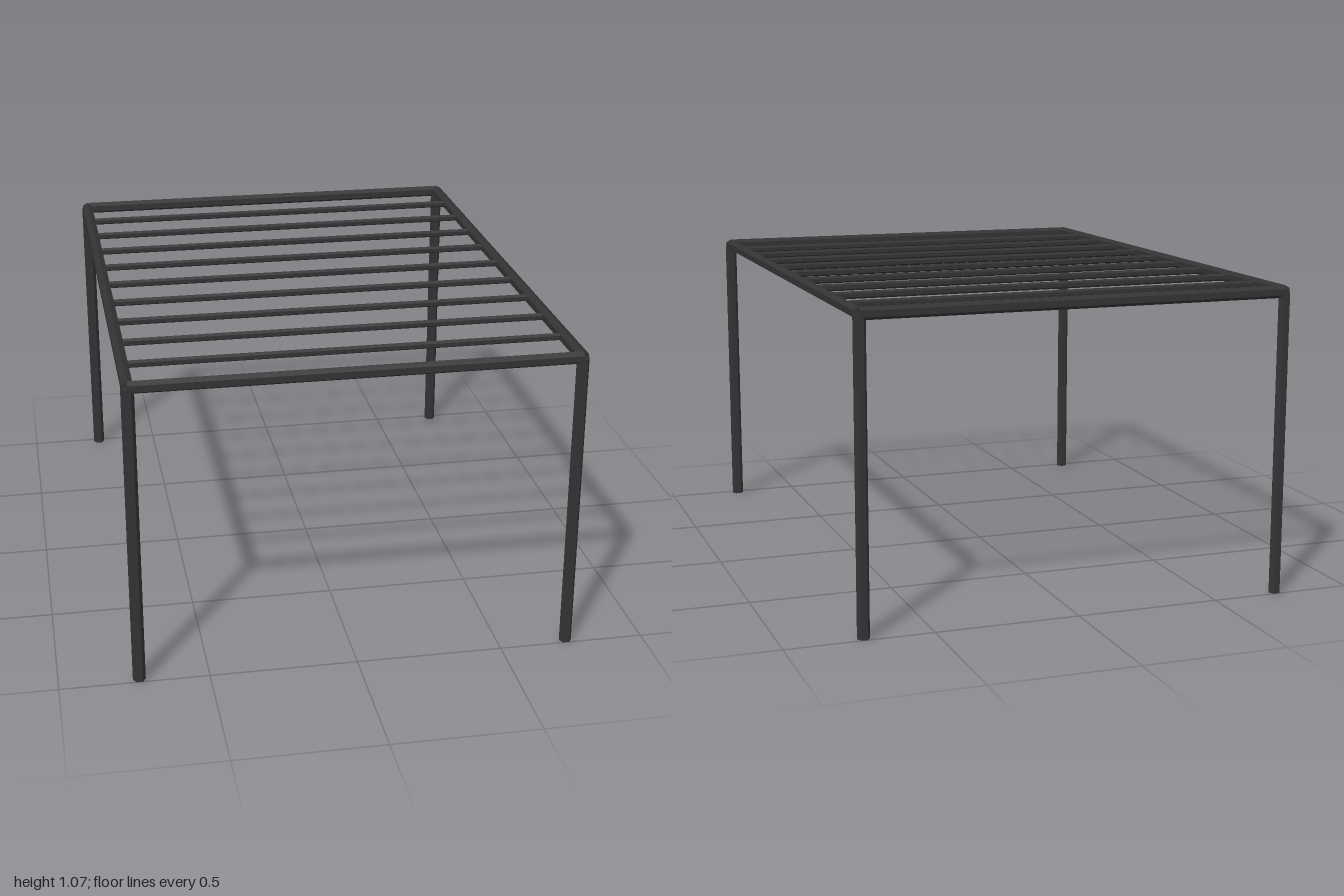
import * as THREE from 'three';

const X = 0.734, Z = 0.9813, Y = 1.045; // bar centre lines
const R = 0.0215, SLAT_R = 0.0128, SLATS = 9;

export function createModel() {
  const model = new THREE.Group();
  model.name = 'pergola';
  const darkMetal = new THREE.MeshStandardMaterial({ color: 0x333333, flatShading: true });
  darkMetal.name = 'darkMetal';

  // Six-sided bar along an axis; horizontal bars have a ridge on top
  function bar(name, axis, radius, length, x, y, z) {
    const start = axis === 'z' ? 0 : Math.PI / 2;
    const geometry = new THREE.CylinderGeometry(radius, radius, length, 6, 1, false, start);
    if (axis === 'x') geometry.rotateZ(Math.PI / 2);
    if (axis === 'z') geometry.rotateX(Math.PI / 2);
    const mesh = new THREE.Mesh(geometry, darkMetal);
    mesh.name = name;
    mesh.position.set(x, y, z);
    model.add(mesh);
  }

  // Corner posts
  for (const sx of [1, -1]) {
    for (const sz of [1, -1]) {
      const name = (sz > 0 ? 'front' : 'back') + (sx > 0 ? 'Left' : 'Right') + 'Post';
      bar(name, 'y', R, Y, sx * X, Y / 2, sz * Z);
    }
  }

  // Roof frame
  bar('frontRail', 'x', R, 2 * X, 0, Y, Z);
  bar('backRail', 'x', R, 2 * X, 0, Y, -Z);
  bar('leftRail', 'z', R, 2 * Z, X, Y, 0);
  bar('rightRail', 'z', R, 2 * Z, -X, Y, 0);

  // Thin slats across the roof
  const step = (2 * Z) / (SLATS + 1);
  for (let i = 1; i <= SLATS; i++) {
    bar('slat' + i, 'x', SLAT_R, 2 * X, 0, Y, -Z + i * step);
  }
  return model;
}
